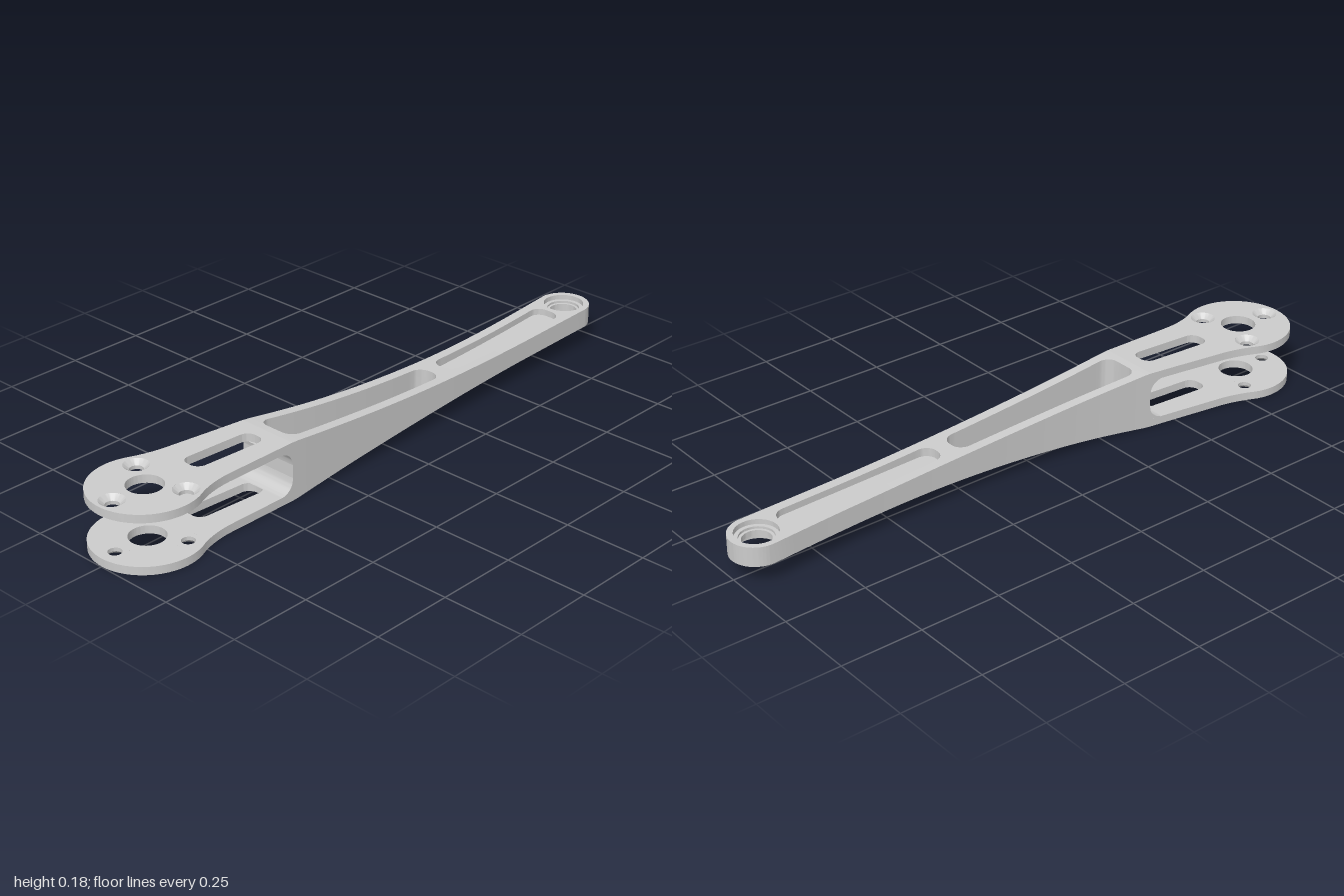
import * as THREE from 'three';
import { toCreasedNormals } from 'three/addons/utils/BufferGeometryUtils.js';

const MID = 0.09;        // height of the mid plane
const JOIN = 0.41;       // z where the solid arm becomes a fork
const EYE_Z = -0.92, EYE_JOIN = -0.85;
const HUB_Z = 0.838, HUB_R = 0.16;
const PLATE = 0.025;     // fork plate thickness
const INSET = 0.031;     // wall beside window and pocket

// Smooth edge x = f(z) through a few points
function edge(knots) {
  const pts = new THREE.SplineCurve(knots.map(k => new THREE.Vector2(...k))).getPoints(120);
  return z => {
    let i = 1;
    while (i < pts.length - 1 && pts[i].x < z) i++;
    const p = pts[i - 1], q = pts[i];
    return p.y + (q.y - p.y) * (z - p.x) / (q.x - p.x);
  };
}
const leftEdge = edge([[-0.92, -0.08], [-0.66, -0.058], [-0.4, -0.043], [-0.2, -0.039], [0, -0.042],
  [0.2, -0.053], [0.41, -0.076], [0.61, -0.105]]);
const rightEdge = edge([[-0.92, 0.08], [-0.66, 0.09], [-0.4, 0.1], [-0.2, 0.107], [0, 0.112],
  [0.2, 0.115], [0.41, 0.118], [0.61, 0.118]]);

// Half thickness: flat at the eye, swelling towards the fork
const half = z => 0.03 + 0.06 * Math.min(1, Math.max(0, (z + 0.65) / 1.05)) ** 2;
const armTop = z => MID + half(z);
const armBottom = z => MID - half(z);

// Lofted bar from z0 to z1 with an optional rounded opening
function loft(z0, z1, top, bottom, { hole, radius = 0.036, inset = 0, steps = 40 } = {}) {
  const rows = [];
  const solidRow = z => {
    const a = leftEdge(z) + inset, d = rightEdge(z) - inset;
    rows.push({ z, a, b: (a + d) / 2, c: (a + d) / 2, d });
  };
  if (hole) {
    const [h0, h1] = hole, zs = [];
    for (let i = 0; i < 10; i++) zs.push(h0 + radius * (1 - Math.cos(i / 10 * Math.PI / 2)));
    for (let i = 0; i <= steps; i++) zs.push(h0 + radius + (h1 - h0 - 2 * radius) * i / steps);
    for (let i = 9; i >= 0; i--) zs.push(h1 - radius * (1 - Math.cos(i / 10 * Math.PI / 2)));
    solidRow(z0);
    solidRow(h0);
    for (const z of zs) {
      const t = Math.max(0, radius - Math.min(z - h0, h1 - z));
      const corner = radius - Math.sqrt(Math.max(0, radius * radius - t * t));
      const a = leftEdge(z), d = rightEdge(z);
      rows.push({ z, a, b: a + INSET + corner, c: d - INSET - corner, d });
    }
    solidRow(h1);
    solidRow(z1);
  } else {
    for (let i = 0; i <= steps; i++) solidRow(z0 + (z1 - z0) * i / steps);
  }

  const out = [];
  const tri = (p, q, r) => {
    const area = q.clone().sub(p).cross(r.clone().sub(p)).length();
    if (area > 1e-9) for (const v of [p, q, r]) out.push(v.x, v.y, v.z);
  };
  const quad = (p, q, r, s) => { tri(p, q, r); tri(p, r, s); };
  const T = (r, k) => new THREE.Vector3(r[k], top(r.z), r.z);
  const B = (r, k) => new THREE.Vector3(r[k], bottom(r.z), r.z);
  for (let n = 1; n < rows.length; n++) {
    const i = rows[n - 1], j = rows[n];
    for (const [k, m] of [['a', 'b'], ['c', 'd']]) {
      quad(T(i, k), T(j, k), T(j, m), T(i, m));
      quad(B(i, m), B(j, m), B(j, k), B(i, k));
    }
    const open = i.b !== i.c || j.b !== j.c;
    for (const k of open ? ['a', 'c'] : ['a']) quad(B(i, k), B(j, k), T(j, k), T(i, k));
    for (const k of open ? ['b', 'd'] : ['d']) quad(T(i, k), T(j, k), B(j, k), B(i, k));
  }
  const f = rows[0], l = rows[rows.length - 1];
  quad(B(l, 'a'), B(l, 'd'), T(l, 'd'), T(l, 'a'));
  quad(B(f, 'd'), B(f, 'a'), T(f, 'a'), T(f, 'd'));
  const geo = new THREE.BufferGeometry();
  geo.setAttribute('position', new THREE.Float32BufferAttribute(out, 3));
  return toCreasedNormals(geo, 0.5);
}

// Flat plate from a shape drawn in x and z
function slab(shape, yTop, depth) {
  const geo = new THREE.ExtrudeGeometry(shape, { depth, bevelEnabled: false, curveSegments: 40 });
  return toCreasedNormals(geo.rotateX(Math.PI / 2).translate(0, yTop, 0), 0.5);
}

function circleHole(x, z, r) {
  return new THREE.Path().absarc(x, z, r, 0, Math.PI * 2, true);
}

// Ring of revolution lining a hole
function lining(profile) {
  const pts = profile.map(p => new THREE.Vector2(...p));
  return toCreasedNormals(new THREE.LatheGeometry(pts, 40), 0.4);
}

// Slanted slot with round ends
function slotHole() {
  const corners = [[-0.016, 0.448], [0.053, 0.448], [0.037, 0.685], [-0.032, 0.685]]
    .map(c => new THREE.Vector2(...c));
  const path = new THREE.Path(), r = 0.028;
  corners.forEach((c, i) => {
    const prev = corners[(i + 3) % 4], next = corners[(i + 1) % 4];
    const p = c.clone().add(prev.clone().sub(c).setLength(r));
    const q = c.clone().add(next.clone().sub(c).setLength(r));
    if (i === 0) path.moveTo(p.x, p.y); else path.lineTo(p.x, p.y);
    path.bezierCurveTo(p.x + (c.x - p.x) * 0.55, p.y + (c.y - p.y) * 0.55,
      q.x + (c.x - q.x) * 0.55, q.y + (c.y - q.y) * 0.55, q.x, q.y);
  });
  path.closePath();
  return path;
}

export function createModel() {
  const model = new THREE.Group();
  const material = new THREE.MeshStandardMaterial({ color: 0xcccccc });
  const liningMaterial = new THREE.MeshStandardMaterial({ color: 0xcccccc, side: THREE.DoubleSide });
  const add = (name, geo, mat = material) => {
    const mesh = new THREE.Mesh(geo, mat);
    mesh.name = name;
    model.add(mesh);
    return mesh;
  };

  // Arm: open window near the fork, pocket with a thin web near the eye
  add('windowSection', loft(-0.275, JOIN, armTop, armBottom, { hole: [-0.25, 0.385] }));
  add('pocketSection', loft(EYE_JOIN, -0.275, armTop, armBottom, { hole: [-0.84, -0.3] }));
  add('pocketWeb', loft(-0.84, -0.3, () => MID + 0.01, () => MID - 0.01, { inset: 0.02 }));

  // Eye end with stepped bore
  const eye = new THREE.Shape();
  eye.moveTo(rightEdge(EYE_JOIN), EYE_JOIN);
  eye.lineTo(leftEdge(EYE_JOIN), EYE_JOIN);
  eye.absarc(0, EYE_Z, 0.08, Math.PI, Math.PI * 2, false);
  eye.closePath();
  eye.holes.push(circleHole(0, EYE_Z, 0.062));
  add('eyeEnd', slab(eye, 0.12, 0.06));
  add('eyeBore', lining([[0.062, 0.015], [0.05, 0.015], [0.05, 0.008], [0.042, 0.008],
    [0.042, -0.008], [0.05, -0.008], [0.05, -0.015], [0.062, -0.015]]), liningMaterial)
    .position.set(0, MID, EYE_Z);

  // Fork plates with hub hole, slot and countersunk screw holes
  const plate = new THREE.Shape();
  plate.moveTo(rightEdge(JOIN), JOIN);
  plate.lineTo(0.118, 0.64);
  plate.quadraticCurveTo(0.118, 0.713, 0.146, 0.773);
  plate.absarc(0, HUB_Z, HUB_R, -0.42, Math.PI + 0.42, false);
  plate.quadraticCurveTo(-0.122, 0.72, -0.113, 0.665);
  plate.lineTo(leftEdge(0.6), 0.6);
  plate.lineTo(leftEdge(0.5), 0.5);
  plate.lineTo(leftEdge(JOIN), JOIN);
  plate.holes.push(circleHole(0, HUB_Z, 0.053), slotHole());
  const screws = [90, 210, 330].map(deg => {
    const t = THREE.MathUtils.degToRad(deg);
    return [0.113 * Math.cos(t), HUB_Z + 0.113 * Math.sin(t)];
  });
  for (const [x, z] of screws) plate.holes.push(circleHole(x, z, 0.037));

  for (const [side, s] of [['upper', 1], ['lower', -1]]) {
    add(side + 'ForkPlate', slab(plate, s > 0 ? 2 * MID : PLATE, PLATE));
    const inner = MID - PLATE;
    const profile = [[0.037, MID], [0.02, MID - 0.014], [0.02, inner], [0.037, inner]]
      .map(([r, y]) => [r, s * y]);
    for (const [x, z] of screws) {
      add(side + 'Countersink', lining(profile), liningMaterial).position.set(x, MID, z);
    }
    // Fillet between plate and arm
    const r = 0.045;
    const depth = z => inner - r + Math.sqrt(Math.max(0, r * r - (JOIN + r - z) ** 2));
    const faces = [() => MID + s * inner, z => MID + s * depth(z)];
    if (s < 0) faces.reverse();
    add(side + 'ForkFillet', loft(JOIN, JOIN + r, faces[0], faces[1], { steps: 16 }));
  }
  return model;
}
